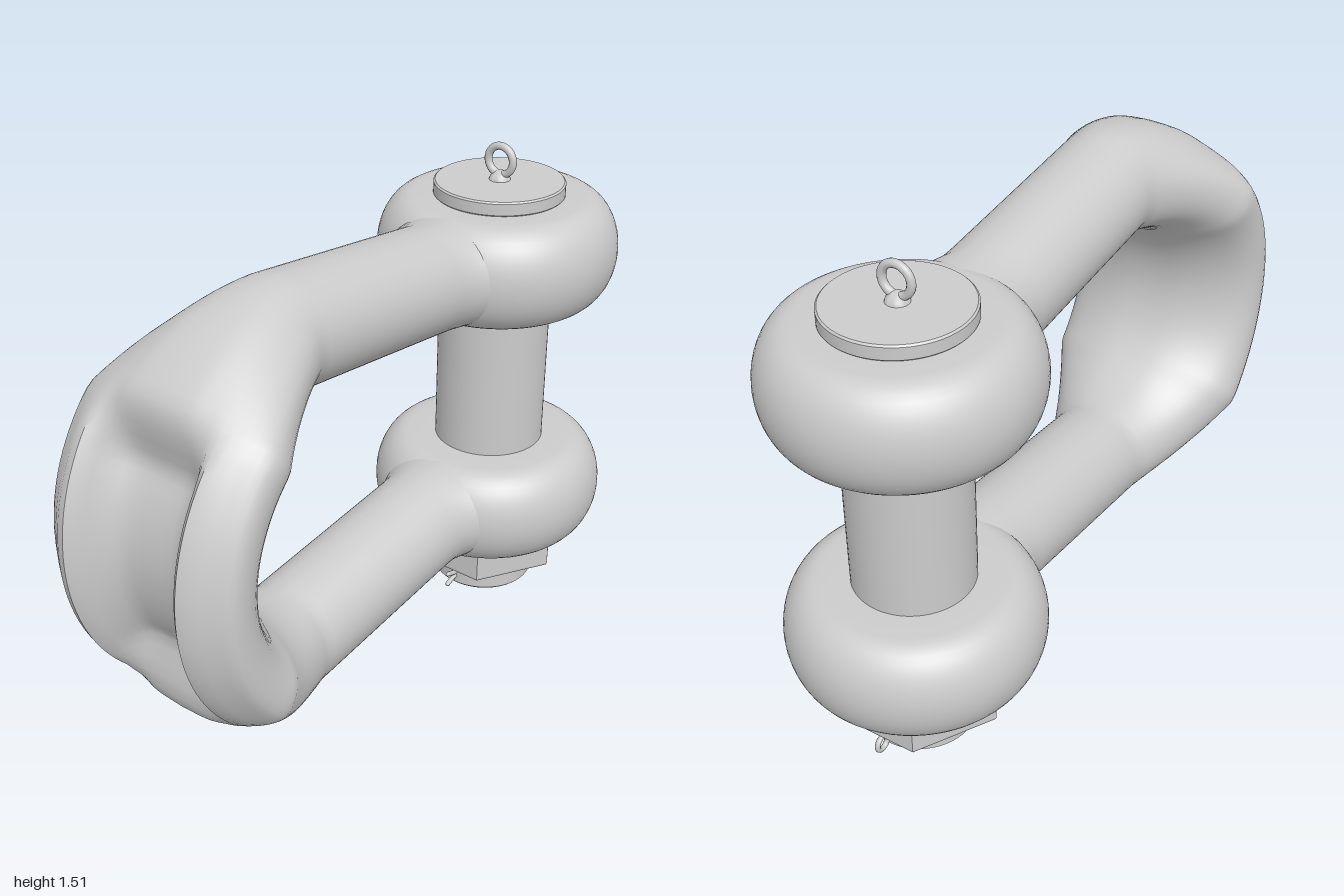
import * as THREE from 'three';
import { toCreasedNormals } from 'three/addons/utils/BufferGeometryUtils.js';

const MID = 0.783, EYE_Z = -0.63, BOW_Z = 0.39;
const material = new THREE.MeshStandardMaterial({ color: 0xcccccc });

function add(parent, name, geometry, x = 0, y = 0, z = 0) {
  const mesh = new THREE.Mesh(geometry, material);
  mesh.name = name;
  mesh.position.set(x, y, z);
  parent.add(mesh);
  return mesh;
}

const lathe = (points, segments = 64, crease = 0.6) => toCreasedNormals(
  new THREE.LatheGeometry(points.map(([r, y]) => new THREE.Vector2(r, y)), segments), crease);

// Half sections of the wide bow, from inner centre to outer centre: [x, distance from bow centre]
const inside = [[0, 0.325], [0.1, 0.33], [0.2, 0.36], [0.285, 0.41], [0.32, 0.465], [0.32, 0.53]];
const domed = [...inside, [0.28, 0.57], [0.2, 0.61], [0.15, 0.625], [0.1, 0.637], [0, 0.642]];
const grooved = [...inside, [0.28, 0.565], [0.2, 0.61], [0.15, 0.545], [0.1, 0.5], [0, 0.49]];

// One closed ring from a half section, mirrored in x and placed in space
function ring(half, place) {
  const pts = new THREE.CatmullRomCurve3(half.map(([x, r]) => new THREE.Vector3(x, r, 0))).getPoints(30);
  const mirrored = pts.slice(1, -1).reverse().map((p) => new THREE.Vector3(-p.x, p.y, 0));
  return [...pts, ...mirrored].map((p) => place(p.x, p.y));
}

const ellipse = (rx, ry, offset) => Array.from({ length: 11 }, (_, i) => {
  const t = (i * Math.PI) / 10;
  return [rx * Math.sin(t), offset - ry * Math.cos(t)];
});

function bowGeometry() {
  const rings = [];
  // Arm stations from the eye to the bow: [z, height from middle, half width, half height]
  const arm = [[-0.5, 0.411, 0.33, 0.155], [-0.43, 0.411, 0.3, 0.16], [-0.38, 0.411, 0.24, 0.161],
    [-0.33, 0.411, 0.2, 0.162], [-0.27, 0.414, 0.17, 0.162], [-0.22, 0.42, 0.166, 0.163],
    [0.1, 0.457, 0.166, 0.164], [0.36, 0.487, 0.166, 0.165]];
  const armRing = (side) => ([z, h, rx, ry]) =>
    ring(ellipse(rx, ry, h), (x, r) => [x, MID + side * r, z]);
  rings.push(...arm.map(armRing(1)));

  // Bow: round at both ends, widening to a saddle with a groove in its outer face
  const round = ellipse(0.166, 0.165, 0.49);
  for (let i = 0; i <= 60; i++) {
    const deg = 90 - i * 3;
    const a = THREE.MathUtils.degToRad(deg);
    const widen = THREE.MathUtils.clamp((90 - Math.abs(deg)) / 43, 0, 1);
    const groove = 1 - THREE.MathUtils.smoothstep(Math.abs(deg), 31, 49);
    const half = round.map((p, k) => p.map((v, c) => {
      const wide = THREE.MathUtils.lerp(domed[k][c], grooved[k][c], groove);
      return THREE.MathUtils.lerp(v, wide, widen);
    }));
    rings.push(ring(half, (x, r) => [x, MID + r * Math.sin(a), BOW_Z + r * Math.cos(a)]));
  }
  rings.push(...arm.slice().reverse().map(armRing(-1)));

  const n = rings[0].length, index = [];
  for (let j = 0; j < rings.length - 1; j++) {
    for (let i = 0; i < n; i++) {
      const a = j * n + i, a1 = j * n + ((i + 1) % n);
      index.push(a, a1, a1 + n, a, a1 + n, a + n);
    }
  }
  const geometry = new THREE.BufferGeometry();
  geometry.setAttribute('position', new THREE.Float32BufferAttribute(rings.flat(2), 3));
  geometry.setIndex(index);
  return toCreasedNormals(geometry, 0.7);
}

// Rounded eye body
function eyeGeometry() {
  const profile = [[0, -0.162], [0.2, -0.162]];
  for (let i = 0; i <= 20; i++) {
    const t = -Math.PI / 2 + (i * Math.PI) / 20;
    profile.push([0.26 + 0.11 * Math.cos(t), 0.162 * Math.sin(t)]);
  }
  profile.push([0.2, 0.162], [0, 0.162]);
  return lathe(profile);
}

export function createModel() {
  const model = new THREE.Group();
  model.name = 'shackle';

  add(model, 'bow', bowGeometry());
  for (const [name, side] of [['upperEye', 1], ['lowerEye', -1]]) {
    add(model, name, eyeGeometry(), 0, MID + side * 0.411, EYE_Z);
  }

  // Pin with its flat head
  const pin = new THREE.Group();
  pin.name = 'pin';
  pin.position.z = EYE_Z;
  model.add(pin);
  add(pin, 'pinShaft', new THREE.CylinderGeometry(0.175, 0.175, 1.2, 64), 0, 0.77, 0);
  add(pin, 'pinHead', lathe([[0, 1.35], [0.19, 1.35], [0.2, 1.36], [0.2, 1.395], [0.195, 1.4], [0, 1.4]]));
  add(pin, 'threadedEnd', lathe([[0, 0], [0.155, 0], [0.163, 0.008], [0.163, 0.12], [0, 0.12]]));
  add(pin, 'washer', lathe([[0, 0.075], [0.174, 0.075], [0.174, 0.11], [0, 0.11]]));

  // Lifting ring on the head
  add(pin, 'ringBase', lathe([[0, 1.395], [0.034, 1.395], [0.03, 1.41], [0.014, 1.425], [0, 1.43]], 24));
  add(pin, 'liftingRing', new THREE.TorusGeometry(0.044, 0.012, 12, 36), 0, 1.459, 0);

  // Hexagonal nut with chamfered corners
  const hex = new THREE.Shape();
  for (let i = 0; i < 6; i++) {
    const a = (i * Math.PI) / 3;
    hex[i ? 'lineTo' : 'moveTo'](0.25 * Math.cos(a), 0.25 * Math.sin(a));
  }
  hex.closePath();
  const nutGeometry = new THREE.ExtrudeGeometry(hex, {
    depth: 0.086, bevelEnabled: true, bevelThickness: 0.01, bevelSize: 0.008, bevelSegments: 2,
  });
  nutGeometry.rotateX(-Math.PI / 2);
  add(pin, 'nut', nutGeometry, 0, 0.107, 0);

  // Split pin through the threaded end, with its eye at the back and spread legs at the front
  const splitPin = new THREE.Group();
  splitPin.name = 'splitPin';
  splitPin.position.y = 0.04;
  pin.add(splitPin);
  const eye = add(splitPin, 'splitPinEye', new THREE.TorusGeometry(0.023, 0.008, 10, 28), 0, 0, -0.195);
  eye.rotation.y = Math.PI / 2;
  for (const side of [1, -1]) {
    const path = new THREE.CatmullRomCurve3([
      new THREE.Vector3(0, side * 0.006, -0.175), new THREE.Vector3(0, side * 0.006, 0.15),
      new THREE.Vector3(0, side * 0.01, 0.175), new THREE.Vector3(0, side * 0.02, 0.205)]);
    add(splitPin, 'splitPinLeg', new THREE.TubeGeometry(path, 24, 0.008, 8));
    add(splitPin, 'splitPinTip', new THREE.SphereGeometry(0.008, 8, 6), 0, side * 0.02, 0.205);
  }
  return model;
}
